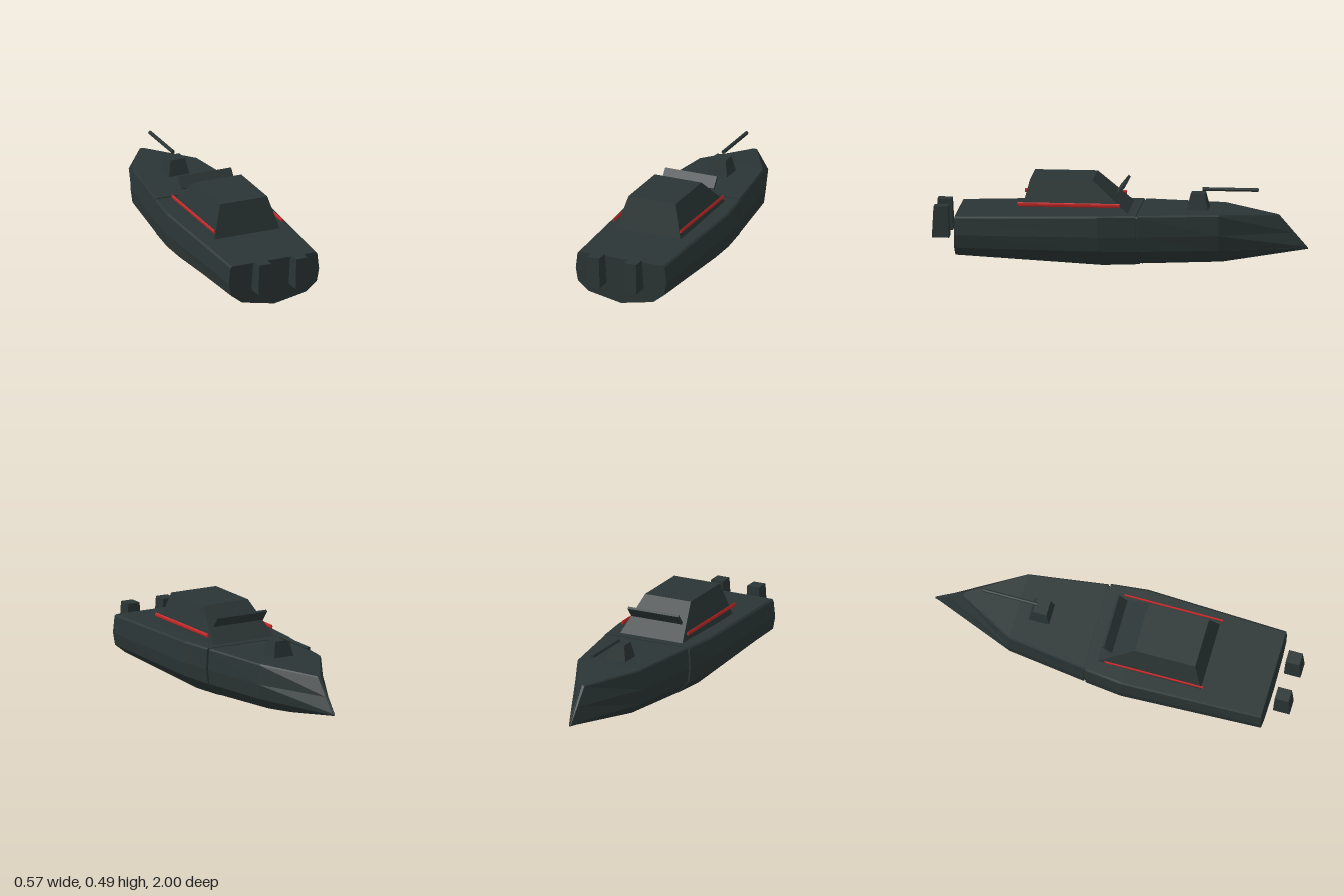
import * as THREE from 'three';

const hullMat = new THREE.MeshStandardMaterial({ color: 0x2b3535, flatShading: true });
hullMat.name = 'darkGreenGrey';
const redMat = new THREE.MeshStandardMaterial({ color: 0xc82828, flatShading: true });
redMat.name = 'red';

// Skin mirrored half-sections, listed from stern to bow; each half runs from deck edge to keel.
function loft(halves) {
  const rings = halves.map((half) => [
    ...half,
    ...half.slice(0, -1).reverse().map(([x, y, z]) => [-x, y, z]),
  ]);
  const pos = [];
  const tri = (...pts) => pts.forEach((p) => pos.push(...p));
  const n = rings[0].length;
  for (let s = 0; s < rings.length - 1; s++) {
    for (let i = 0; i < n; i++) {
      const j = (i + 1) % n;
      const a = rings[s][i], b = rings[s][j], c = rings[s + 1][j], d = rings[s + 1][i];
      tri(a, b, c);
      tri(a, c, d);
    }
  }
  const first = rings[0], last = rings[rings.length - 1];
  for (let i = 1; i < n - 1; i++) {
    tri(first[0], first[i + 1], first[i]);
    tri(last[0], last[i], last[i + 1]);
  }
  const g = new THREE.BufferGeometry();
  g.setAttribute('position', new THREE.Float32BufferAttribute(pos, 3));
  g.computeVertexNormals();
  return g;
}

// Hull section at one z from [x, y] pairs
const section = (z, pts) => pts.map(([x, y]) => [x, y, z]);

// Box with separate bottom and top rectangles: [halfWidth, zMin, zMax, y]
function frustum(bottom, top) {
  const g = new THREE.BoxGeometry(2, 2, 2);
  const p = g.attributes.position;
  for (let i = 0; i < p.count; i++) {
    const [w, z0, z1, y] = p.getY(i) > 0 ? top : bottom;
    p.setXYZ(i, p.getX(i) * w, y, p.getZ(i) > 0 ? z1 : z0);
  }
  g.computeVertexNormals();
  return g;
}

export function createModel() {
  const boat = new THREE.Group();
  boat.name = 'patrolBoat';
  const add = (name, geometry, material = hullMat) => {
    const m = new THREE.Mesh(geometry, material);
    m.name = name;
    boat.add(m);
    return m;
  };

  // Hull in two pieces with a narrow seam between them
  add('rearHull', loft([
    section(0.87, [[0.245, 0.297], [0.255, 0.288], [0.265, 0.2], [0.252, 0.13], [0.188, 0.08], [0, 0.043]]),
    section(0.1, [[0.268, 0.318], [0.278, 0.31], [0.287, 0.205], [0.277, 0.128], [0.202, 0.053], [0, 0.002]]),
    section(-0.1, [[0.248, 0.32], [0.256, 0.312], [0.262, 0.205], [0.252, 0.125], [0.185, 0.056], [0, 0.01]]),
  ]));
  add('hullSeam', loft([-0.09, -0.12].map((z) =>
    section(z, [[0.236, 0.312], [0.244, 0.304], [0.25, 0.205], [0.24, 0.13], [0.178, 0.064], [0, 0.02]]))));
  add('bowHull', loft([
    section(-0.11, [[0.244, 0.32], [0.25, 0.312], [0.257, 0.205], [0.248, 0.125], [0.182, 0.058], [0, 0.015]]),
    section(-0.54, [[0.184, 0.32], [0.19, 0.312], [0.202, 0.21], [0.19, 0.128], [0.135, 0.07], [0, 0.033]]),
    [[0.008, 0.295, -0.84], [0.009, 0.289, -0.848], [0.008, 0.2, -0.925],
      [0.006, 0.122, -0.994], [0.004, 0.115, -1], [0, 0.111, -1]],
  ]));

  // Wheelhouse with a sloping front
  add('cabin', frustum([0.19, -0.06, 0.52, 0.312], [0.138, 0.14, 0.475, 0.488]));

  // Tilted windscreen plate ahead of the cabin roof
  const screen = add('windscreen', new THREE.BoxGeometry(0.306, 0.07, 0.014));
  screen.position.set(0, 0.433, -0.008);
  screen.rotation.x = -0.68;

  // Gun mount and barrel on the foredeck
  add('gunMount', frustum([0.06, -0.47, -0.355, 0.315], [0.042, -0.45, -0.375, 0.405]));
  const barrel = add('gunBarrel', new THREE.CylinderGeometry(0.01, 0.01, 0.3, 8));
  barrel.position.set(0, 0.425, -0.585);
  barrel.rotation.x = Math.PI / 2;

  // Paired side rails and outboard motors
  for (const [side, sx] of [['left', 1], ['right', -1]]) {
    const rail = add(side + 'Rail', new THREE.CylinderGeometry(0.011, 0.011, 0.545, 8), redMat);
    rail.rotation.x = Math.PI / 2;
    rail.scale.x = 0.4;
    rail.position.set(sx * 0.197, 0.362, 0.263);

    const motor = add(side + 'Motor', frustum([0.042, 0.908, 1, 0.163], [0.035, 0.916, 0.992, 0.33]));
    motor.position.x = sx * 0.108;
  }
  return boat;
}
